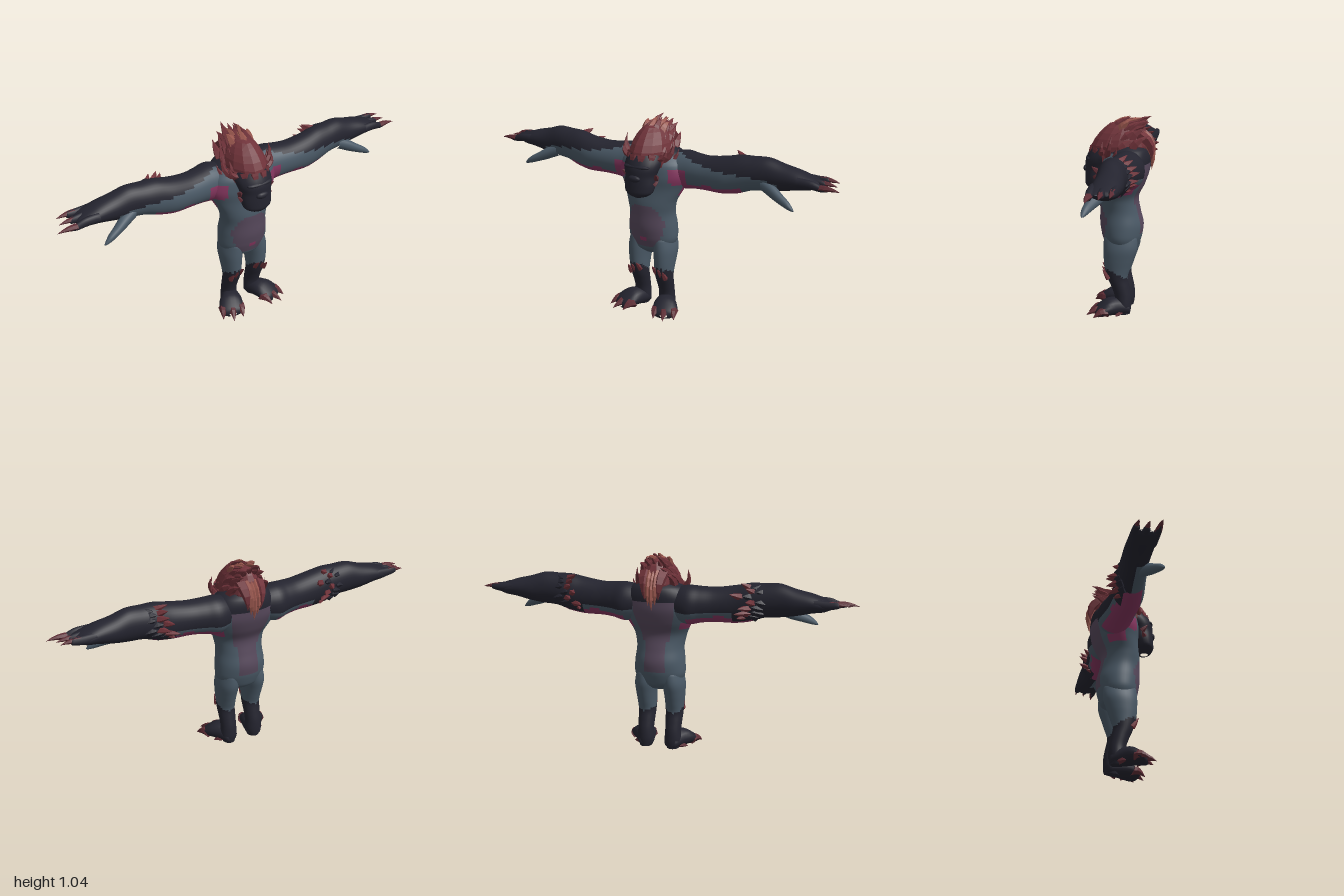
import * as THREE from 'three';
import { mergeGeometries } from 'three/addons/utils/BufferGeometryUtils.js';

const V = (x, y, z) => new THREE.Vector3(x, y, z);
const mat = (name, color) => new THREE.MeshStandardMaterial({ name, color });

// Closed body swept through sections [x, y, z, ra, rb] along 'x' or 'y'; paint picks a material index per quad.
function loft(sections, axis, paint = () => 0, rings = 40, sides = 32) {
  const path = new THREE.CatmullRomCurve3(sections.map(s => V(s[0], s[1], s[2])));
  const radii = new THREE.CatmullRomCurve3(sections.map(s => V(s[3], s[4], 0)));
  const pos = [], faces = [];
  for (let i = 0; i <= rings; i++) {
    const c = path.getPoint(i / rings), r = radii.getPoint(i / rings);
    for (let j = 0; j < sides; j++) {
      const a = j / sides * Math.PI * 2, u = Math.cos(a) * Math.max(r.x, 0.001), w = Math.sin(a) * Math.max(r.y, 0.001);
      if (axis === 'y') pos.push(c.x + u, c.y, c.z + w);
      else pos.push(c.x, c.y + u, c.z + w);
    }
  }
  const at = k => V(pos[k * 3], pos[k * 3 + 1], pos[k * 3 + 2]);
  for (let i = 0; i < rings; i++) for (let j = 0; j < sides; j++) {
    const a = i * sides + j, b = i * sides + (j + 1) % sides, c = a + sides, d = b + sides;
    const ang = (j + 0.5) / sides * Math.PI * 2;
    const m = paint(at(a).add(at(d)).multiplyScalar(0.5), Math.cos(ang), Math.sin(ang));
    (faces[m] ??= []).push(...(axis === 'y' ? [a, c, b, b, c, d] : [a, b, c, b, d, c]));
  }
  const geo = new THREE.BufferGeometry();
  geo.setAttribute('position', new THREE.Float32BufferAttribute(pos, 3));
  const index = [];
  faces.forEach((f, m) => { geo.addGroup(index.length, f.length, m); for (const k of f) index.push(k); });
  geo.setIndex(index);
  geo.computeVertexNormals();
  return geo;
}

// Mirror an indexed geometry across x, keeping faces outward.
function mirror(geo) {
  const g = geo.clone().scale(-1, 1, 1), ix = g.index.array;
  for (let i = 0; i < ix.length; i += 3) [ix[i], ix[i + 1]] = [ix[i + 1], ix[i]];
  g.computeVertexNormals();
  return g;
}

// Faceted spike from base to tip, bowed by a bend vector.
function spike(base, tip, r, bend = V(0, 0, 0), sides = 5) {
  const dir = tip.clone().sub(base), len = dir.length();
  const g = new THREE.ConeGeometry(r, len, sides, 4).translate(0, len / 2, 0);
  const q = new THREE.Quaternion().setFromUnitVectors(V(0, 1, 0), dir.normalize());
  const p = g.attributes.position, v = V(0, 0, 0);
  for (let i = 0; i < p.count; i++) {
    const t = p.getY(i) / len;
    v.fromBufferAttribute(p, i);
    v.x *= 1 + t * 0.6; v.z *= 1 + t * 0.6;
    v.applyQuaternion(q).add(base).addScaledVector(bend, 4 * t * (1 - t));
    p.setXYZ(i, v.x, v.y, v.z);
  }
  const flat = g.toNonIndexed();
  flat.computeVertexNormals();
  return flat;
}

export function createModel() {
  const root = new THREE.Group();
  root.name = 'shaggyBeast';
  const grey = mat('greySkin', 0x4a5966), dark = mat('darkFur', 0x24242f), mauve = mat('mauveSkin', 0x56485b),
    pink = mat('pinkSkin', 0x85365f), red = mat('redMane', 0x70333a), light = mat('lightMane', 0x98564d),
    claw = mat('clawRed', 0x5f2e36), eye = mat('eyeRed', 0xa03038);
  const skin = [grey, dark, mauve, pink];
  const add = (name, geo, m) => {
    const mesh = new THREE.Mesh(geo, m);
    mesh.name = name;
    root.add(mesh);
  };
  const addPair = (name, geo, m) => { add(name + 'Left', geo, m); add(name + 'Right', mirror(geo), m); };
  let seed = 7;
  const rnd = () => (seed = (seed * 16807) % 2147483647) / 2147483647 - 0.5;

  // Torso: dark upper back, mauve belly and spine, pink armpits and chest marks
  add('torso', loft([
    [0, .33, -.015, .05, .05], [0, .36, -.015, .11, .085], [0, .42, -.015, .135, .105], [0, .48, -.013, .132, .113],
    [0, .55, -.005, .125, .105], [0, .62, 0, .138, .1], [0, .69, -.02, .172, .112], [0, .76, -.03, .2, .125],
    [0, .82, -.035, .185, .125], [0, .87, -.05, .14, .1], [0, .9, -.05, .08, .06], [0, .91, -.05, .002, .002],
  ], 'y', p => {
    const x = Math.abs(p.x);
    if (p.y > .8 && p.z < 0 || p.y > .86) return 1;
    if (p.z > 0 && x < .02 && Math.abs(p.y - .425) < .012) return 3;
    if (p.z > .03 && Math.hypot(x / .105, (p.y - .49) / .12) < 1) return 2;
    if (p.z < -.05 && p.y > .43 && x < .05 + Math.max(0, p.y - .55) * .3) return 2;
    if (p.z > .01 && x > .135 && p.y > .72 && p.y < .8) return 3;
    if (x > .12 && p.z < 0 && p.z > -.09 && p.y > .65 && p.y < .77) return 3;
    return 0;
  }, 60, 44), skin);

  // Arms: dark above and behind, grey in front, pink beneath
  addPair('arm', loft([
    [.06, .79, -.05, .07, .07], [.17, .785, -.06, .1, .09], [.23, .788, -.05, .092, .085], [.3, .79, -.04, .088, .08],
    [.4, .797, -.035, .095, .078], [.47, .81, -.04, .097, .075], [.55, .825, -.045, .085, .07],
    [.62, .83, -.05, .083, .066], [.7, .825, -.055, .066, .066], [.78, .825, -.055, .048, .066],
    [.84, .82, -.055, .033, .063], [.88, .82, -.055, .015, .052], [.89, .82, -.055, .002, .03],
  ], 'x', (p, c, s) => {
    if (p.x > .69) return 1;
    if (s > .2 && p.x > .13 && p.x < .21 && p.y > .71 && p.y < .8) return 3;
    if (s > 0 ? c > .8 - 2.4 * (p.x - .2) : c > (p.x < .4 ? -.35 : -.85)) return 1;
    if (p.x > .5 && s < 0) return 1;
    if (p.x > .16 && p.x < .5 && c < -.55 - Math.abs(p.x - .33) * .9) return 3;
    return 0;
  }, 64, 36), skin);

  // Legs: grey thigh, dark shin
  addPair('leg', loft([
    [.075, .005, -.03, .032, .036], [.075, .05, -.03, .045, .043], [.075, .1, -.028, .042, .043],
    [.075, .15, -.015, .044, .046], [.075, .2, 0, .047, .052], [.076, .25, 0, .05, .067],
    [.077, .3, -.006, .054, .078], [.075, .36, -.014, .058, .088], [.07, .42, -.015, .05, .085], [.07, .46, -.015, .01, .02],
  ], 'y', p => p.y < .225 + p.z * .5 + (Math.abs(Math.sin(p.x * 120)) - .5) * .012 ? 1 : 0, 44, 28), skin);

  // Feet turned outward; the sweep lies along the foot, so the third number is minus the height
  const turn = .36;
  addPair('foot', loft([
    [0, -.035, -.03, .02, .02], [0, -.025, -.036, .04, .034], [0, .03, -.048, .052, .047], [.005, .08, -.048, .064, .045],
    [.008, .12, -.036, .066, .034], [.008, .145, -.026, .055, .024], [.008, .155, -.022, .02, .01],
  ], 'y', () => 0, 20, 20).rotateX(Math.PI / 2).rotateY(turn).translate(.075, 0, -.03), dark);

  // Fingers and thumb
  const fingers = [[-.1, .965, .826], [-.053, .97, .82], [-.002, 1, .812]];
  for (const [z, tip, y] of fingers) addPair('finger', loft([
    [.79, .828, z, .024, .02], [.86, .826, z, .022, .019], [.91, y + .003, z, .015, .014], [tip - .05, y, z, .003, .003],
  ], 'x', () => 0, 10, 10), dark);
  addPair('thumb', loft([
    [.61, .79, -.02, .035, .035], [.67, .765, 0, .034, .034], [.72, .742, .022, .026, .026],
    [.765, .722, .038, .019, .018], [.79, .708, .045, .009, .009], [.8, .702, .047, .001, .001],
  ], 'x', () => 0, 20, 14), grey);

  for (const s of [1, -1]) {
    const side = s > 0 ? 'Left' : 'Right', P = (x, y, z) => V(s * x, y, z);
    // Claws on fingers and toes
    const claws = fingers.map(([z, tip, y]) => spike(P(tip - .1, y + .005, z), P(tip, y, z), .017, V(0, .005, 0), 6));
    for (const k of [-1, 0, 1]) {
      const local = (x, y, z) => {
        const v = V(x, y, z).applyAxisAngle(V(0, 1, 0), turn);
        return P(v.x + .075, v.y, v.z - .03);
      };
      claws.push(spike(local(k * .045 + .005, .034, .1), local(k * .055 + .01, .012, .2 - Math.abs(k) * .025), .028, V(0, .012, 0), 6));
    }
    // Heel and outer foot spur
    claws.push(spike(P(.1, .025, -.02), P(.15, .01, .0), .022));
    add('claws' + side, mergeGeometries(claws), claw);

    // Fur tufts on knee and elbow
    const tufts = [], roots = [];
    for (const [x, y] of [[.05, .275], [.08, .262], [.105, .25]]) tufts.push(spike(P(x, y - .05, .042), P(x, y, .088 - Math.abs(x - .06) * .3), .015));
    for (let i = 0; i < 7; i++) {
      const a = -.9 + i * .33, y = .81 + Math.sin(a) * .08, z = -.04 - Math.cos(a) * .065, x = .47 + rnd() * .08;
      const tip = P(x - .05 + rnd() * .06, y + Math.sin(a) * .025 + .01, z - .045 * Math.cos(a) - .008);
      tufts.push(spike(P(x, y, z + .01), tip, .021));
      roots.push(spike(P(x + .05, y, z + .012), P(x + .01, y + .01, z - .025), .026));
    }
    add('furTufts' + side, mergeGeometries(tufts), red);
    add('elbowFur' + side, mergeGeometries(roots), dark);

    // Eye and cheek marks
    const mark = new THREE.SphereGeometry(1, 10, 6).scale(.014, .006, .004);
    add('eye' + side, mark.rotateZ(s * .35).rotateY(s * .5).translate(s * .045, .802, .157), eye);
    const cheek = [spike(P(.083, .76, .1), P(.1, .79, .13), .016), spike(P(.08, .73, .115), P(.098, .75, .1), .014)];
    add('cheekTufts' + side, mergeGeometries(cheek), claw);
    // Side locks that curve outward and up
    add('sideLocks' + side, mergeGeometries([
      spike(P(.085, .835, .05), P(.135, .955, .02), .02, P(.025, -.01, 0)),
      spike(P(.09, .83, .02), P(.15, .9, -.01), .018, P(.015, -.015, 0)),
      spike(P(.08, .85, .08), P(.12, .92, .07), .018, P(.02, -.01, 0)),
    ]), red);
  }

  // Head with heavy muzzle
  add('head', loft([
    [0, .66, .13, .02, .02], [0, .67, .13, .05, .036], [0, .69, .125, .076, .053], [0, .73, .115, .084, .063],
    [0, .77, .108, .083, .068], [0, .81, .095, .094, .08], [0, .85, .06, .098, .1], [0, .9, .03, .08, .1], [0, .93, .02, .01, .01],
  ], 'y', () => 0, 32, 24), dark);
  add('brow', new THREE.SphereGeometry(1, 16, 10).scale(.075, .014, .025).translate(0, .822, .148), dark);
  add('nose', new THREE.SphereGeometry(1, 12, 8).scale(.035, .018, .016).translate(0, .765, .172), dark);

  // Mane: faceted skull cap, overlaid locks swept back, hem and nape locks hanging
  const cap = loft([
    [0, .825, .01, .09, .135], [0, .84, .005, .1, .152], [0, .89, -.005, .104, .15], [0, .94, -.015, .09, .13],
    [0, .98, -.025, .065, .1], [0, 1.005, -.03, .035, .07], [0, 1.01, -.03, .002, .01],
  ], 'y', () => 0, 9, 14).toNonIndexed();
  cap.computeVertexNormals();
  add('maneCap', cap, red);
  const locks = [], bright = [];
  for (let row = 0; row < 3; row++) for (let i = 0; i < 9; i++) {
    const a = (i / 8 - .5) * Math.PI * 1.3, k = 1 - row * .25;
    const base = V(Math.sin(a) * .085 * k, .85 + row * .045, Math.cos(a) * .125 * k - .005 - row * .01);
    const tip = V(base.x * (.9 + rnd() * .3), base.y + .085 + rnd() * .03, base.z - .1 + rnd() * .02);
    (i === 4 && row > 0 ? bright : locks).push(spike(base, tip, .03, V(base.x * .2, .012, .014)));
  }
  for (let i = 0; i < 5; i++) {
    const x = (i - 2) * .022;
    bright.push(spike(V(x, .97, .03 - Math.abs(x)), V(x * 1.4, 1.02 + rnd() * .02, -.06 - i % 2 * .05), .026, V(0, .01, 0)));
    locks.push(spike(V(x, .96, -.06), V(x * 1.5, 1.025 - Math.abs(x) * .6, -.145), .024));
    (i % 4 ? bright : locks).push(spike(V(x, .95, -.1), V(x * .8, .76 + Math.abs(x) * 1.2, -.165), .034, V(0, .01, -.03)));
  }
  for (let i = 0; i < 14; i++) {
    const a = (i + .5) / 14 * Math.PI * 2, sn = Math.sin(a), cs = Math.cos(a);
    const drop = cs > .5 ? .035 : cs < -.3 ? .1 : .05;
    locks.push(spike(V(sn * .088, .87, cs * .13), V(sn * .105, .855 - drop + rnd() * .02, cs * .155 + .005), .03));
  }
  add('maneLocks', mergeGeometries(locks), red);
  add('maneHighlights', mergeGeometries(bright), light);
  return root;
}
